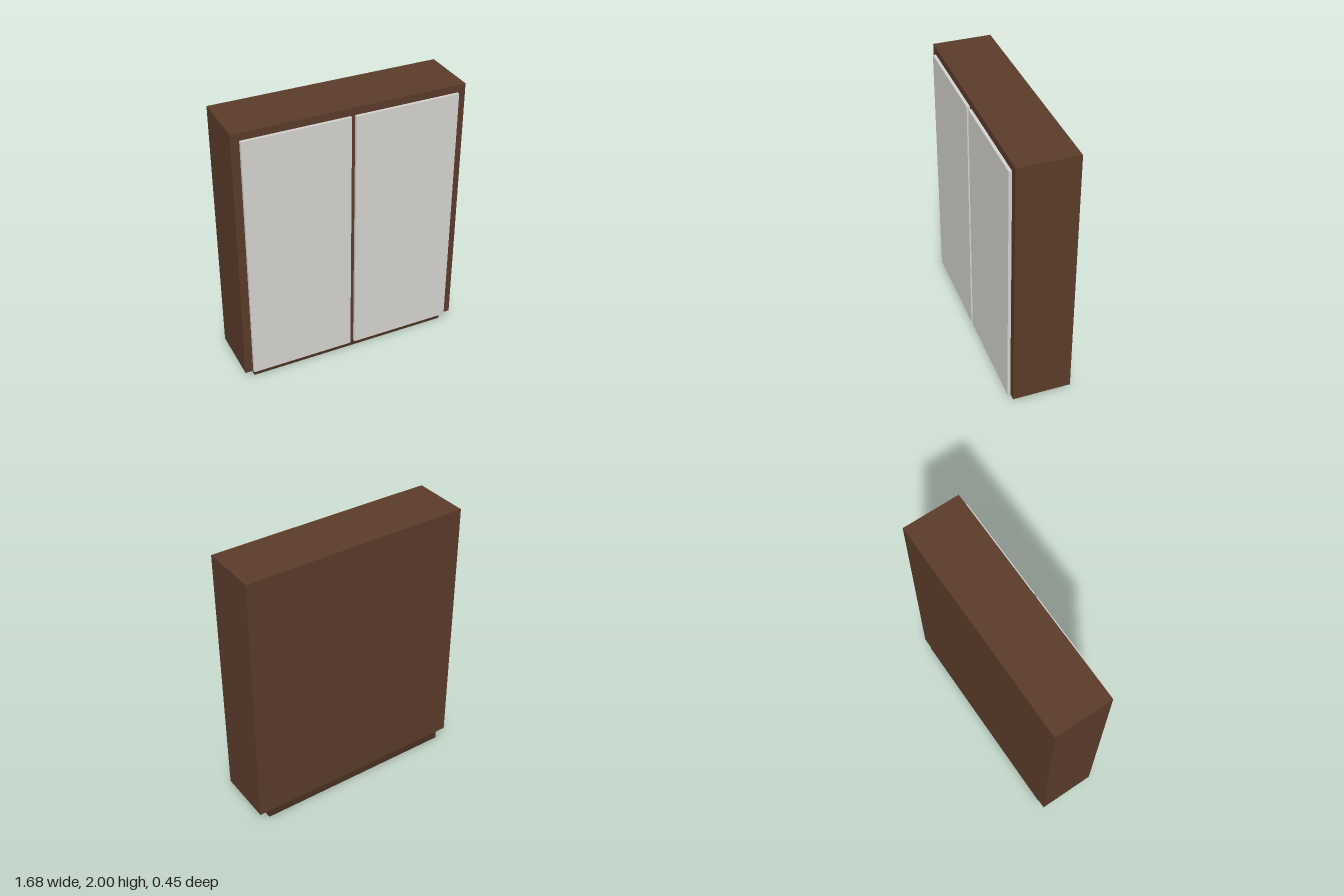
import * as THREE from 'three';

const wood = new THREE.MeshStandardMaterial({ color: 0x5a3b2a });
const darkWood = new THREE.MeshStandardMaterial({ color: 0x4a3021 });
const panel = new THREE.MeshStandardMaterial({ color: 0xd4d2ce });

// Box given by its minimum and maximum corners
function box(name, material, [x0, y0, z0], [x1, y1, z1]) {
  const mesh = new THREE.Mesh(new THREE.BoxGeometry(x1 - x0, y1 - y0, z1 - z0), material);
  mesh.name = name;
  mesh.position.set((x0 + x1) / 2, (y0 + y1) / 2, (z0 + z1) / 2);
  return mesh;
}

export function createModel() {
  const wardrobe = new THREE.Group();
  wardrobe.name = 'wardrobe';

  // Recessed plinth and the cabinet standing on it
  wardrobe.add(box('plinth', darkWood, [-0.765, 0, -0.22], [0.765, 0.065, 0.18]));
  wardrobe.add(box('cabinet', wood, [-0.84, 0.065, -0.225], [0.84, 2, 0.203]));

  // Pair of pale door panels standing proud of the front
  for (const side of [-1, 1]) {
    const door = box(side > 0 ? 'leftDoor' : 'rightDoor', panel, [-0.3825, 0.067, 0.203], [0.3825, 1.945, 0.225]);
    door.position.x = side * 0.399;
    wardrobe.add(door);
  }
  return wardrobe;
}
